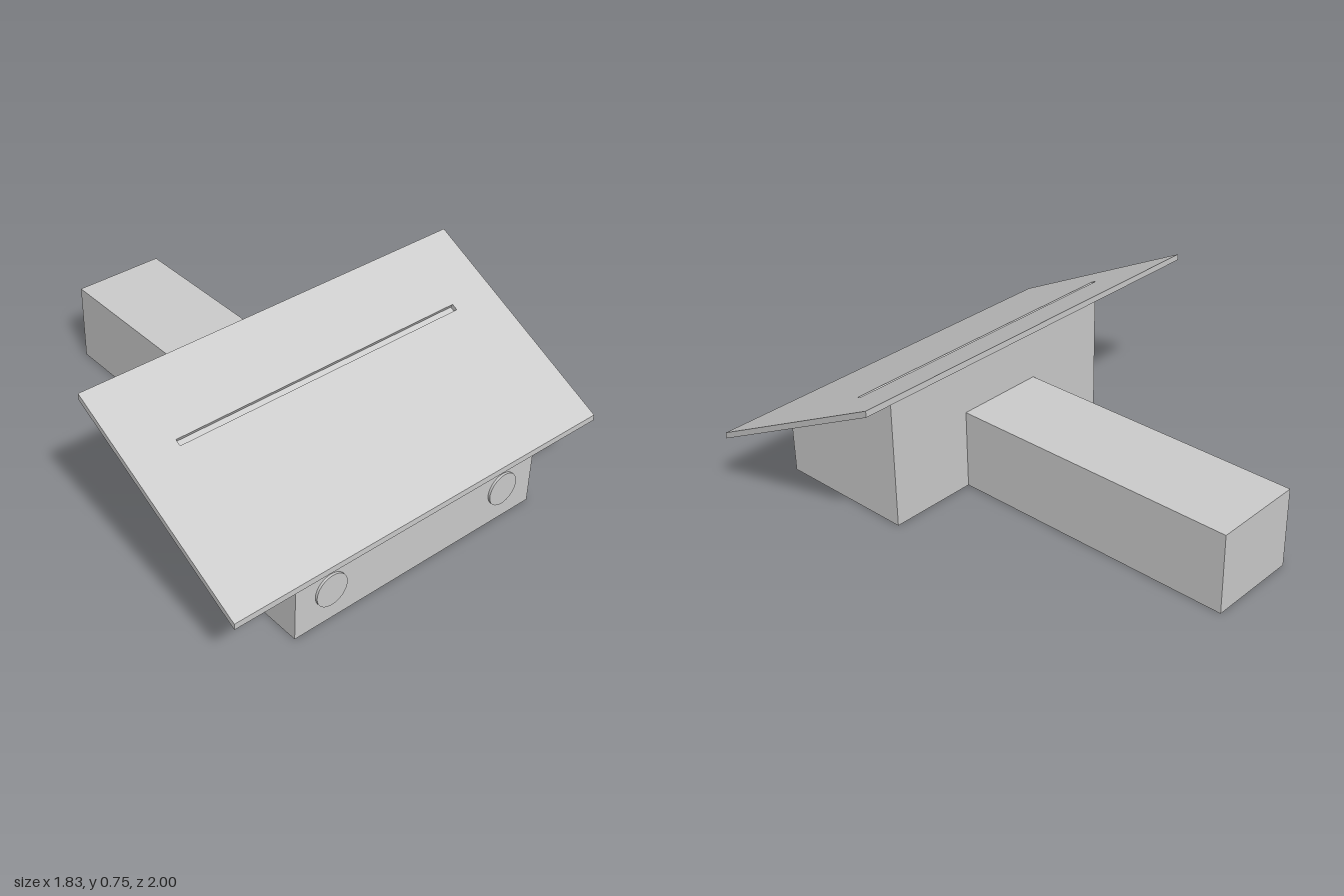
import * as THREE from 'three';

const grey = new THREE.MeshStandardMaterial({ color: 0xcccccc });
grey.name = 'light grey';

// Prism along x from a side profile of [z, y] points
function prism(name, profile, x0, x1) {
  const shape = new THREE.Shape(profile.map(([z, y]) => new THREE.Vector2(-z, y)));
  const geo = new THREE.ExtrudeGeometry(shape, { depth: x1 - x0, bevelEnabled: false });
  geo.rotateY(Math.PI / 2).translate(x0, 0, 0);
  const mesh = new THREE.Mesh(geo, grey);
  mesh.name = name;
  return mesh;
}

export function createModel() {
  const model = new THREE.Group();
  model.name = 'slopedDesk';

  // Sloped board: underside and top heights at a given z
  const zFront = 1, zBack = 0.105, slope = 0.502;
  const top = (z) => 0.305 + (zFront - z) * slope;
  const under = (z) => top(z) - 0.027;

  // Body with a slanted top, and the long block behind it
  model.add(prism('body', [[0.96, 0], [0.96, under(0.96)], [0.32, under(0.32)], [0.32, 0]], -0.61, 0.61));
  model.add(prism('rearBlock', [[0.32, 0], [0.32, 0.355], [-1, 0.355], [-1, 0]], -0.205, 0.205));

  // Board in three lengths; the middle one has a narrow groove square to its face
  const plain = [[zFront, under(zFront)], [zFront, top(zFront)], [zBack, top(zBack)], [zBack, under(zBack)]];
  const g0 = 0.415, g1 = 0.39, dz = 0.009, dy = 0.018;
  const grooved = [
    plain[0], plain[1],
    [g0, top(g0)], [g0 - dz, top(g0) - dy], [g1 - dz, top(g1) - dy], [g1, top(g1)],
    plain[2], plain[3],
  ];
  const board = new THREE.Group();
  board.name = 'slopedBoard';
  board.add(
    prism('boardRight', plain, -0.915, -0.697),
    prism('boardMiddle', grooved, -0.697, 0.697),
    prism('boardLeft', plain, 0.697, 0.915),
  );
  model.add(board);

  // Round buttons on the front
  for (const side of [-1, 1]) {
    const button = new THREE.Mesh(new THREE.CylinderGeometry(0.073, 0.073, 0.014, 48), grey);
    button.name = side > 0 ? 'leftButton' : 'rightButton';
    button.rotation.x = Math.PI / 2;
    button.position.set(side * 0.443, 0.15, 0.963);
    model.add(button);
  }
  return model;
}
